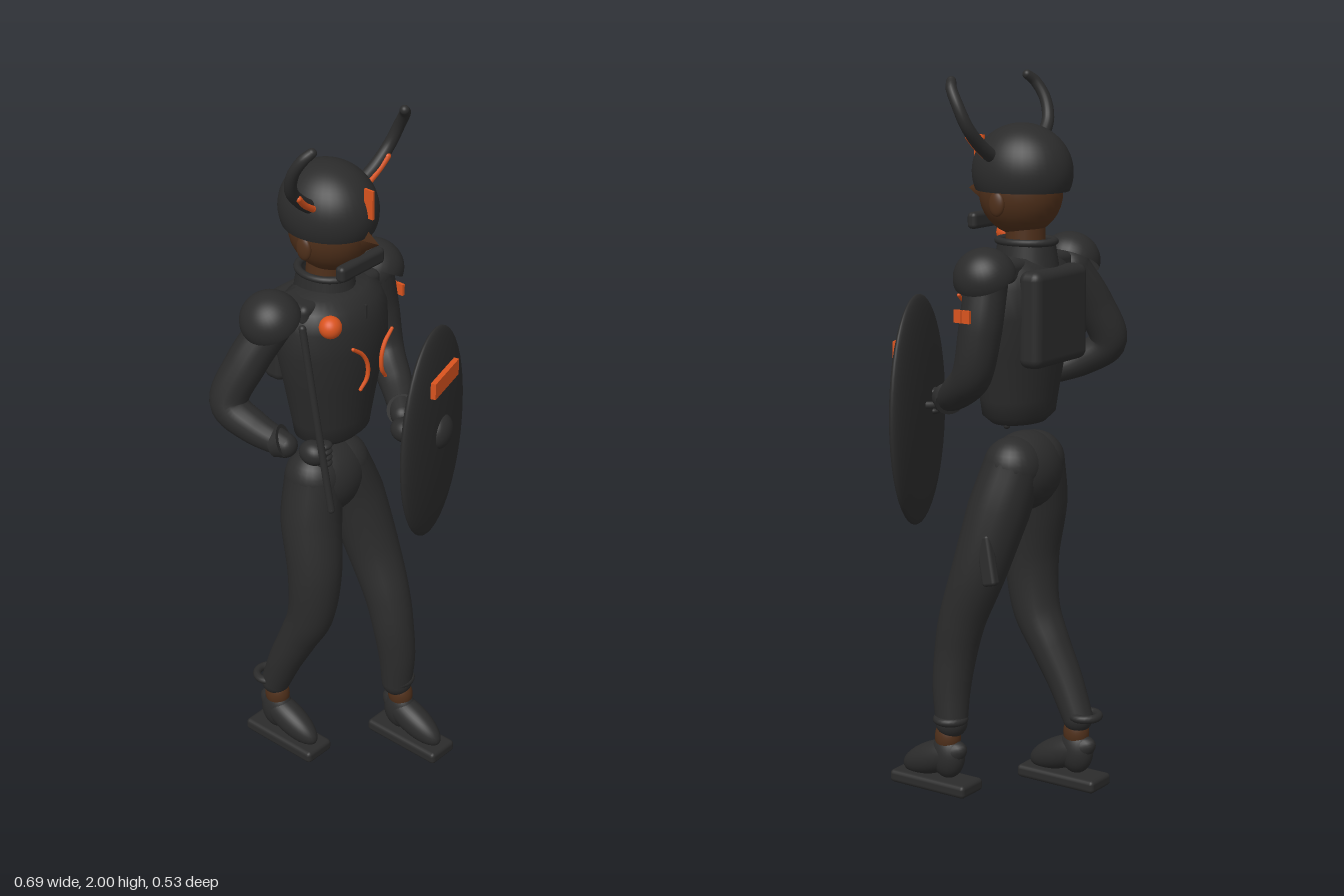
import * as THREE from 'three';
import { RoundedBoxGeometry } from 'three/addons/geometries/RoundedBoxGeometry.js';

const material = (name, color, side = THREE.FrontSide) => {
  const m = new THREE.MeshStandardMaterial({ color, side });
  m.name = name;
  return m;
};
const V = (x, y, z) => new THREE.Vector3(x, y, z);
const CX = 0.013; // body centre line

export function createModel() {
  const model = new THREE.Group();
  model.name = 'shieldBearer';
  const dark = material('charcoal', 0x2b2b2b, THREE.DoubleSide);
  const skin = material('brownSkin', 0x4e2f1a);
  const orange = material('orange', 0xd9531e);

  const add = (name, geo, mat, pos = [0, 0, 0], scale = [1, 1, 1], rot = [0, 0, 0], parent = model) => {
    const m = new THREE.Mesh(geo, mat);
    m.name = name;
    m.position.set(...pos);
    m.scale.set(...scale);
    m.rotation.set(...rot);
    parent.add(m);
    return m;
  };
  const ball = (name, mat, pos, scale, rot, parent) =>
    add(name, new THREE.SphereGeometry(1, 28, 18), mat, pos, scale, rot, parent);

  // Tapered tube through [x, y, z, radius] stations, with round ends
  const limb = (name, stations, mat = dark, rings = 36, sides = 18) => {
    const curve = new THREE.CatmullRomCurve3(stations.map(s => V(s[0], s[1], s[2])));
    const geo = new THREE.TubeGeometry(curve, rings, 1, sides);
    const p = geo.attributes.position, v = V(0, 0, 0);
    for (let i = 0; i < p.count; i++) {
      const u = Math.floor(i / (sides + 1)) / rings;
      const t = curve.getUtoTmapping(u) * (stations.length - 1);
      const k = Math.min(Math.floor(t), stations.length - 2);
      const r = THREE.MathUtils.lerp(stations[k][3], stations[k + 1][3], t - k);
      const c = curve.getPointAt(u);
      v.fromBufferAttribute(p, i).sub(c).multiplyScalar(r).add(c);
      p.setXYZ(i, v.x, v.y, v.z);
    }
    add(name, geo, mat);
    for (const s of [stations[0], stations[stations.length - 1]])
      ball(name + 'End', mat, s.slice(0, 3), [s[3], s[3], s[3]]);
  };

  // Torso: lathe flattened from front to back
  const torso = [[0, 1.06], [0.09, 1.062], [0.12, 1.085], [0.128, 1.13], [0.152, 1.25], [0.175, 1.36],
    [0.172, 1.44], [0.15, 1.49], [0.11, 1.515], [0.05, 1.525]].map(p => new THREE.Vector2(...p));
  add('torso', new THREE.LatheGeometry(torso, 36), dark, [CX, 0, -0.055], [1, 1, 0.75]);
  add('chestYoke', new RoundedBoxGeometry(0.31, 0.06, 0.12, 3, 0.02), dark, [CX, 1.485, -0.07]);
  add('backPlate', new RoundedBoxGeometry(0.25, 0.26, 0.07, 3, 0.025), dark, [CX, 1.36, -0.165]);
  add('chestSeam', new THREE.BoxGeometry(0.006, 0.11, 0.008), dark, [CX, 1.44, 0.065]);

  // Neck and collar
  add('neck', new THREE.CylinderGeometry(0.052, 0.055, 0.14, 24), skin, [CX, 1.56, -0.075]);
  add('collar', new THREE.CylinderGeometry(0.07, 0.085, 0.1, 28, 1, true), dark, [CX, 1.505, -0.078], [1, 1, 1.15]);
  add('collarRim', new THREE.TorusGeometry(0.066, 0.01, 10, 32), dark, [CX, 1.555, -0.078], [1, 1.2, 1], [Math.PI / 2, 0, 0]);

  // Head
  ball('head', skin, [CX, 1.685, -0.06], [0.107, 0.117, 0.116]);
  add('helmet', new THREE.SphereGeometry(1, 36, 20, 0, Math.PI * 2, 0, 1.95), dark, [CX, 1.738, -0.065], [0.124, 0.13, 0.141]);
  add('nose', new THREE.ConeGeometry(1, 0.07, 4), skin, [CX, 1.685, 0.075], [0.014, 1, 0.05], [Math.PI / 2, 0, 0]);
  add('forehead crest', new THREE.BoxGeometry(0.007, 0.08, 0.03), orange, [CX, 1.79, 0.075]);
  add('chinGuard', new RoundedBoxGeometry(0.17, 0.045, 0.03, 3, 0.012), dark, [CX, 1.607, 0.045]);

  for (const s of [-1, 1]) {
    const side = s > 0 ? 'left' : 'right';
    const x = d => CX + s * d;
    ball(side + 'Ear', skin, [x(0.107), 1.66, -0.055], [0.012, 0.033, 0.024]);

    // Horn, with an orange strip along its base
    limb(side + 'Horn', [[x(0.09), 1.775, -0.04, 0.019], [x(0.145), 1.815, -0.03, 0.018], [x(0.19), 1.865, -0.02, 0.017],
      [x(0.204), 1.92, 0.0, 0.016], [x(0.195), 1.965, 0.027, 0.015], [x(0.177), 1.982, 0.04, 0.013]]);
    limb(side + 'HornStrip', [[x(0.11), 1.786, -0.02, 0.009], [x(0.145), 1.811, -0.016, 0.009],
      [x(0.172), 1.839, -0.011, 0.009]], orange, 10, 8);

    // Chest stripe
    limb(side + 'ChestStripe', [[x(0.078), 1.402, 0.09, 0.005], [x(0.045), 1.375, 0.094, 0.006], [x(0.028), 1.34, 0.097, 0.006],
      [x(0.03), 1.3, 0.097, 0.006], [x(0.05), 1.27, 0.092, 0.005]], orange, 20, 8);

    // Domed shoulder pad
    add(side + 'ShoulderPad', new THREE.SphereGeometry(1, 28, 14, 0, Math.PI * 2, 0, 1.6), dark,
      [x(0.205), 1.48, -0.085], [0.082, 0.078, 0.085], [0, 0, -s * 0.5]);
  }

  // Arms
  limb('rightArm', [[-0.185, 1.46, -0.09, 0.056], [-0.245, 1.36, -0.125, 0.056], [-0.29, 1.245, -0.15, 0.052],
    [-0.27, 1.19, -0.08, 0.046], [-0.235, 1.15, 0.0, 0.034]]);
  limb('leftArm', [[0.22, 1.46, -0.09, 0.058], [0.24, 1.34, -0.085, 0.058], [0.235, 1.22, -0.055, 0.054],
    [0.195, 1.16, 0.02, 0.046], [0.13, 1.12, 0.1, 0.034]]);
  const band = new THREE.CylinderGeometry(0.045, 0.04, 0.03, 20);
  add('rightWristCuff', band, dark, [-0.245, 1.16, -0.015], [1, 1, 1], [1.2, 0, -0.4]);
  add('leftWristCuff', band, dark, [0.145, 1.125, 0.085], [1, 1, 1], [1.1, 0, 0.7]);

  // Gloved hands with curled fingers
  const hand = (name, x, y, z) => {
    ball(name, dark, [x, y, z], [0.034, 0.034, 0.042]);
    for (let i = 0; i < 4; i++)
      ball(name + 'Finger', dark, [x + 0.016, y + 0.027 - i * 0.018, z + 0.026], [0.022, 0.011, 0.02]);
  };
  hand('rightHand', -0.19, 1.13, 0.06);
  hand('leftHand', 0.09, 1.105, 0.14);

  // Arm badge: two orange plates
  for (const z of [-0.083, -0.057])
    add('armBadge', new THREE.BoxGeometry(0.009, 0.034, 0.023), orange, [0.299, 1.386, z]);

  // Pelvis and legs
  ball('pelvis', dark, [0, 0.92, -0.065], [0.13, 0.11, 0.095]);
  limb('leftLeg', [[0.055, 0.94, -0.065, 0.083], [0.09, 0.82, -0.04, 0.087], [0.118, 0.65, 0.005, 0.077],
    [0.122, 0.5, 0.06, 0.066], [0.122, 0.4, 0.083, 0.06], [0.128, 0.3, 0.093, 0.054], [0.133, 0.2, 0.09, 0.045]]);
  limb('rightLeg', [[-0.05, 0.94, -0.065, 0.083], [-0.075, 0.82, -0.055, 0.087], [-0.09, 0.65, -0.03, 0.077],
    [-0.092, 0.5, -0.045, 0.067], [-0.095, 0.4, -0.09, 0.057], [-0.1, 0.3, -0.138, 0.05], [-0.1, 0.2, -0.18, 0.043]]);
  add('hipPouch', new RoundedBoxGeometry(0.03, 0.14, 0.045, 2, 0.01), dark, [0.172, 0.7, -0.06], [1, 1, 1], [0.25, 0, 0.1]);

  // Feet: ankle, cuff, sloping shoe and flat base plate
  const foot = (side, x, z, cuffZ) => {
    ball(side + 'Ankle', skin, [x, 0.155, z + 0.01], [0.034, 0.05, 0.038]);
    add(side + 'AnkleCuff', new THREE.TorusGeometry(0.038, 0.012, 10, 24), dark, [x, 0.21, cuffZ], [1, 1, 1], [Math.PI / 2, 0, 0]);
    ball(side + 'Heel', dark, [x, 0.1, z + 0.01], [0.04, 0.065, 0.052]);
    ball(side + 'Shoe', dark, [x, 0.088, z + 0.055], [0.043, 0.046, 0.115], [0.4, 0, 0]);
    add(side + 'Sole', new RoundedBoxGeometry(0.1, 0.037, 0.258, 2, 0.012), dark, [x, 0.0185, z + 0.052]);
  };
  foot('left', 0.138, 0.09, 0.09);
  foot('right', -0.1, -0.185, -0.205);

  // Shield: shallow lens with boss and orange bar
  const shield = new THREE.Group();
  shield.name = 'shield';
  shield.position.set(0.157, 1.085, 0.182);
  shield.rotation.y = 0.278;
  model.add(shield);
  add('shieldFace', new THREE.SphereGeometry(1, 40, 24), dark, [0, 0, 0], [0.198, 0.32, 0.034], [0, 0, 0], shield);
  ball('shieldBoss', dark, [0, 0.01, 0.025], [0.05, 0.05, 0.032], [0, 0, 0], shield);
  add('shieldBar', new THREE.BoxGeometry(0.155, 0.048, 0.015), orange, [0, 0.177, 0.034], [1, 1, 1], [0, 0, 0], shield);
  add('shieldGrip', new THREE.TorusGeometry(0.04, 0.01, 8, 20, Math.PI), dark, [-0.02, 0.02, -0.03], [1, 1, 1], [-Math.PI / 2, 0, 0], shield);

  // Staff and floating orb
  limb('staff', [[-0.2, 1.5, 0.035, 0.01], [-0.2, 1.24, 0.083, 0.01], [-0.2, 0.985, 0.132, 0.01]], dark, 8, 12);
  ball('staffOrb', orange, [-0.2, 1.54, 0.132], [0.03, 0.03, 0.03]);

  return model;
}
